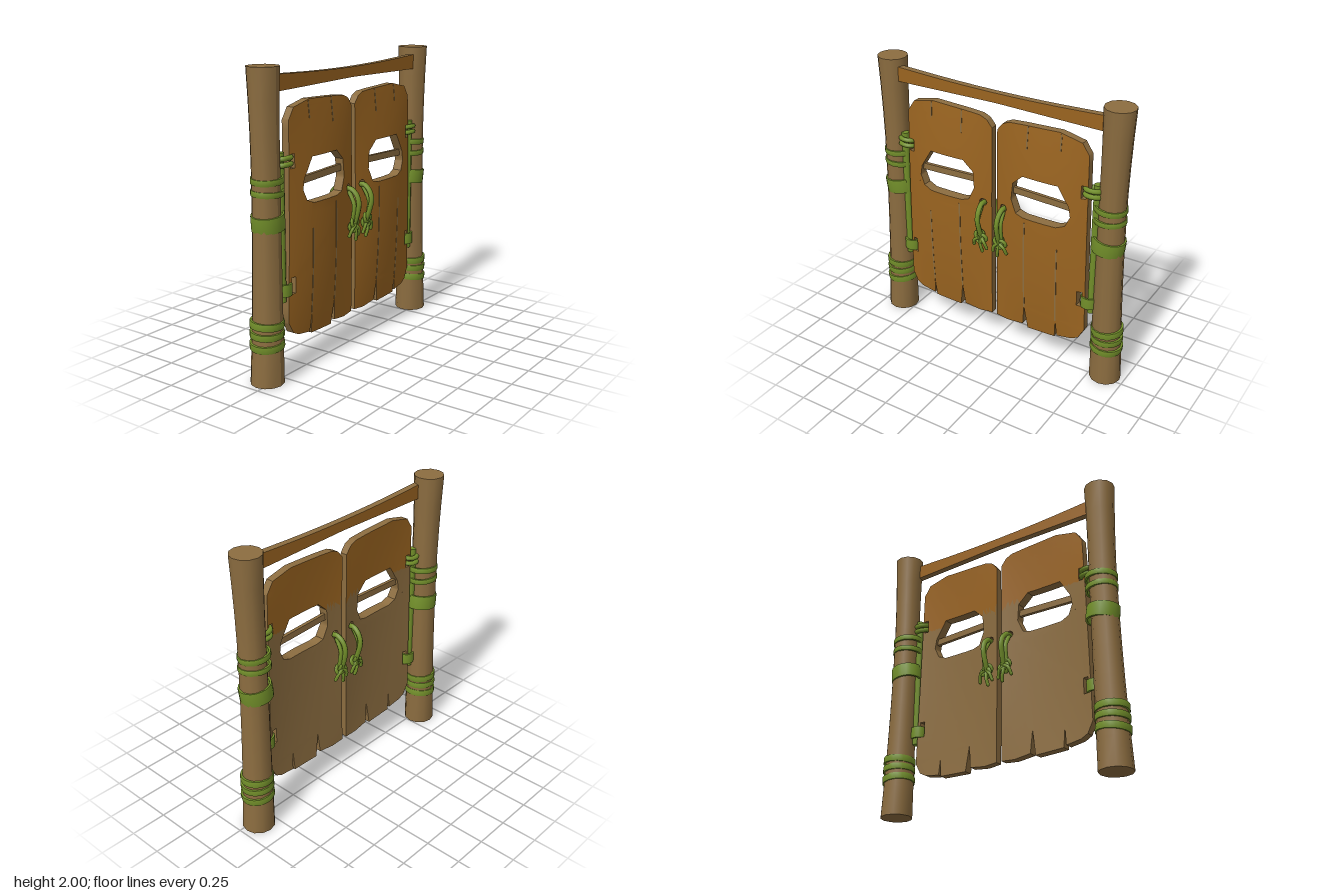
import * as THREE from 'three';
import { toCreasedNormals } from 'three/addons/utils/BufferGeometryUtils.js';

const mat = (name, color) => new THREE.MeshStandardMaterial({ name, color });
const V = (x, y, z) => new THREE.Vector3(x, y, z);

// Doors swell gently toward the viewer in the middle
const swell = (x, y) => {
  const u = (Math.abs(x) - 0.36) / 0.37, v = (y - 0.95) / 0.87;
  return Math.max(0, 1 - u * u) * Math.max(0, 1 - v * v);
};
const frontZ = (x, y) => 0.022 + 0.055 * swell(x, y);
const backZ = (x, y) => -0.028 + 0.03 * swell(x, y);

const doorOutline = [
  [0.02, 0.235], [0.02, 1.68], [0.06, 1.73], [0.11, 1.752], [0.22, 1.76], [0.48, 1.77], [0.635, 1.735],
  [0.685, 1.66], [0.695, 1.2], [0.71, 0.36], [0.67, 0.285], [0.62, 0.26], [0.51, 0.245], [0.5, 0.37],
  [0.492, 0.232], [0.28, 0.225], [0.255, 0.405], [0.24, 0.245], [0.12, 0.228],
];
const rect = (x0, x1, y0, y1) => [[x0, y0], [x1, y0], [x1, y1], [x0, y1]];
const doorHoles = [
  [[0.49, 1.41], [0.23, 1.41], [0.155, 1.34], [0.145, 1.22], [0.185, 1.13], [0.24, 1.115],
    [0.49, 1.115], [0.55, 1.14], [0.582, 1.21], [0.57, 1.28]],
  rect(0.645, 0.68, 1.36, 1.45),
  rect(0.65, 0.685, 0.55, 0.66),
  Array.from({ length: 8 }, (_, i) => [0.08 + 0.027 * Math.cos(i * Math.PI / 4), 1.13 + 0.027 * Math.sin(i * Math.PI / 4)]),
];

// Split every triangle in four, several times over
function subdivide(tris, levels) {
  for (let l = 0; l < levels; l++) {
    tris = tris.flatMap(([a, b, c]) => {
      const ab = a.clone().lerp(b, 0.5), bc = b.clone().lerp(c, 0.5), ca = c.clone().lerp(a, 0.5);
      return [[a, ab, ca], [ab, b, bc], [ca, bc, c], [ab, bc, ca]];
    });
  }
  return tris;
}

// Door panel: group 0 is stained wood, group 1 is bare wood
function doorGeometry(s) {
  const pts = list => list.map(([x, y]) => new THREE.Vector2(x * s, y));
  const shape = new THREE.Shape(pts(doorOutline));
  doorHoles.forEach(h => shape.holes.push(new THREE.Path(pts(h))));
  let flat = new THREE.ExtrudeGeometry(shape, { depth: 1, bevelEnabled: false });
  if (flat.index) flat = flat.toNonIndexed();
  const p = flat.attributes.position;
  let tris = [];
  for (let i = 0; i < p.count; i += 3) {
    tris.push([0, 1, 2].map(k => V().fromBufferAttribute(p, i + k)));
  }
  tris = subdivide(tris, 3);
  const stained = [], bare = [];
  for (const t of tris) {
    const y = (t[0].y + t[1].y + t[2].y) / 3;
    const isFront = t.every(v => v.z > 0.999), isBack = t.every(v => v.z < 0.001);
    const out = isFront || (isBack && y > 1.36) ? stained : bare;
    for (const v of t) out.push(v.x, v.y, THREE.MathUtils.lerp(backZ(v.x, v.y), frontZ(v.x, v.y), v.z));
  }
  const g = new THREE.BufferGeometry();
  g.setAttribute('position', new THREE.Float32BufferAttribute(stained.concat(bare), 3));
  g.addGroup(0, stained.length / 3, 0);
  g.addGroup(stained.length / 3, bare.length / 3, 1);
  return toCreasedNormals(g, 0.6);
}

// Post: slightly waisted and leaning trunk
function postGeometry(s) {
  const g = new THREE.CylinderGeometry(1, 1, 2, 12, 10).translate(0, 1, 0);
  const p = g.attributes.position;
  for (let i = 0; i < p.count; i++) {
    const y = p.getY(i), k = (y - 1.4) / 1.4;
    const r = y < 1.4 ? 0.09 + 0.02 * k * k : 0.09 + 0.013 * ((y - 1.4) / 0.6) ** 2;
    const c = y < 1.4 ? 0.836 + 0.024 * k * k : 0.836 + 0.007 * (y - 1.4) / 0.6;
    p.setXYZ(i, s * c + r * p.getX(i), y, -0.035 + r * p.getZ(i));
  }
  g.computeVertexNormals();
  return g;
}

// Flat strap ring with a rounded rectangular section
function bandGeometry(rx, rz, h, t = 0.016) {
  const a = h / 2, q = 1 - t / rx;
  const profile = [[q, -a], [0.985, -a], [1, -a * 0.7], [1, a * 0.7], [0.985, a], [q, a], [q, -a]];
  const g = new THREE.LatheGeometry(profile.map(([x, y]) => new THREE.Vector2(x, y)), 20).scale(rx, 1, rz);
  return toCreasedNormals(g, 0.7);
}

const rope = (pts, r, closed = false) =>
  new THREE.TubeGeometry(new THREE.CatmullRomCurve3(pts, closed), 28, r, 7, closed);

// Crossbar: slim beam, thinner in the middle
function crossbarGeometry() {
  const g = new THREE.BoxGeometry(1.52, 1, 0.045, 10, 1, 1);
  const p = g.attributes.position;
  for (let i = 0; i < p.count; i++) {
    const k = Math.min(1, Math.abs(p.getX(i)) / 0.74);
    p.setY(i, p.getY(i) > 0 ? 1.925 + 0.022 * k * k : 1.858 - 0.013 * k);
  }
  return toCreasedNormals(g, 0.4);
}

export function createModel() {
  const stained = mat('stained wood', 0x9a6420);
  const bare = mat('bare wood', 0x8c6d40);
  const vine = mat('green vine', 0x728f2a);
  const model = new THREE.Group();
  model.name = 'swingDoors';
  const add = (parent, name, geo, material) => {
    const m = new THREE.Mesh(geo, material);
    m.name = name;
    parent.add(m);
    return m;
  };

  add(model, 'crossbar', crossbarGeometry(), [bare, bare, bare, bare, stained, stained]);

  for (const s of [1, -1]) {
    const half = new THREE.Group();
    half.name = s > 0 ? 'leftSide' : 'rightSide';
    model.add(half);
    add(half, 'post', postGeometry(s), bare);
    add(half, 'door', doorGeometry(s), [stained, bare]);

    // Slat across the window
    const slat = add(half, 'windowSlat', new THREE.BoxGeometry(0.46, 0.045, 0.024), bare);
    slat.position.set(s * 0.365, 1.273, 0.02);
    slat.rotation.z = -s * 0.035;

    // Thin seams between the planks
    for (const [x, y0, y1] of [[0.255, 0.4, 1.08], [0.25, 1.6, 1.757], [0.5, 0.37, 0.95], [0.49, 1.65, 1.76]]) {
      const g = new THREE.BoxGeometry(0.01, y1 - y0, 0.004, 1, 10, 1).translate(s * x, (y0 + y1) / 2, 0);
      const p = g.attributes.position;
      for (let i = 0; i < p.count; i++) p.setZ(i, p.getZ(i) + frontZ(x, p.getY(i)));
      add(half, 'plankSeam', g, bare);
    }

    // Straps around the post: [centre x, y, x radius, z radius, height, tilt]
    for (const [x, y, rx, rz, h, tilt] of [
      [0.823, 1.312, 0.11, 0.101, 0.038, -0.05], [0.823, 1.232, 0.11, 0.101, 0.036, 0.03],
      [0.823, 1.05, 0.112, 0.103, 0.1, -0.12], [0.853, 0.398, 0.111, 0.111, 0.046, 0.03],
      [0.854, 0.335, 0.111, 0.111, 0.042, -0.04], [0.855, 0.262, 0.113, 0.112, 0.046, -0.1],
    ]) {
      const band = add(half, 'postStrap', bandGeometry(rx, rz, h), vine);
      band.position.set(s * x, y, -0.035);
      band.rotation.set(0.04, 0, s * tilt);
    }

    // Hinge rod with its two loops
    const rod = add(half, 'hingeRod', new THREE.CylinderGeometry(0.027, 0.027, 0.96, 8), vine);
    rod.position.set(s * 0.742, 0.99, 0);
    for (const y of [1.388, 1.428]) {
      const ring = Array.from({ length: 10 }, (_, i) => {
        const a = i * Math.PI / 5;
        return V(s * (0.715 + 0.055 * Math.cos(a)), y + 0.008 * Math.sin(a), 0.002 + 0.045 * Math.sin(a));
      });
      add(half, 'upperHingeLoop', rope(ring, 0.017, true), vine);
    }
    const lower = add(half, 'lowerHingeLoop', bandGeometry(0.057, 0.05, 0.08), vine);
    lower.position.set(s * 0.722, 0.59, 0);

    // Rope handles with knots, one on each face
    for (const f of [1, -1]) {
      const handle = new THREE.Group();
      handle.name = f > 0 ? 'frontHandle' : 'backHandle';
      half.add(handle);
      const P = (x, y, z) => V(s * x, y, 0.01 + f * z);
      add(handle, 'handleRope', rope([P(0.08, 1.12, 0), P(0.08, 1.125, 0.05), P(0.077, 1.09, 0.095),
        P(0.075, 1.03, 0.115), P(0.072, 0.95, 0.1), P(0.07, 0.87, 0.07)], 0.018), vine);
      add(handle, 'innerRope', rope([P(0.085, 1.11, 0.04), P(0.088, 1.02, 0.085), P(0.09, 0.94, 0.08),
        P(0.085, 0.87, 0.065)], 0.015), vine);
      const knot = add(handle, 'knot', new THREE.TorusKnotGeometry(0.03, 0.014, 64, 7, 2, 3), vine);
      knot.position.copy(P(0.076, 0.88, 0.075));
      knot.scale.set(1, 1, 0.8);
      const tails = [
        [P(0.08, 0.88, 0.09), P(0.115, 0.855, 0.09), P(0.128, 0.81, 0.075)],
        [P(0.075, 0.87, 0.08), P(0.068, 0.82, 0.09), P(0.06, 0.775, 0.08)],
        [P(0.07, 0.88, 0.08), P(0.04, 0.85, 0.09), P(0.026, 0.805, 0.08)],
      ];
      for (const t of tails) {
        add(handle, 'ropeTail', rope(t, 0.012), vine);
        const end = add(handle, 'ropeTailEnd', new THREE.SphereGeometry(0.0125, 7, 5), vine);
        end.position.copy(t[2]);
      }
    }
  }
  return model;
}
